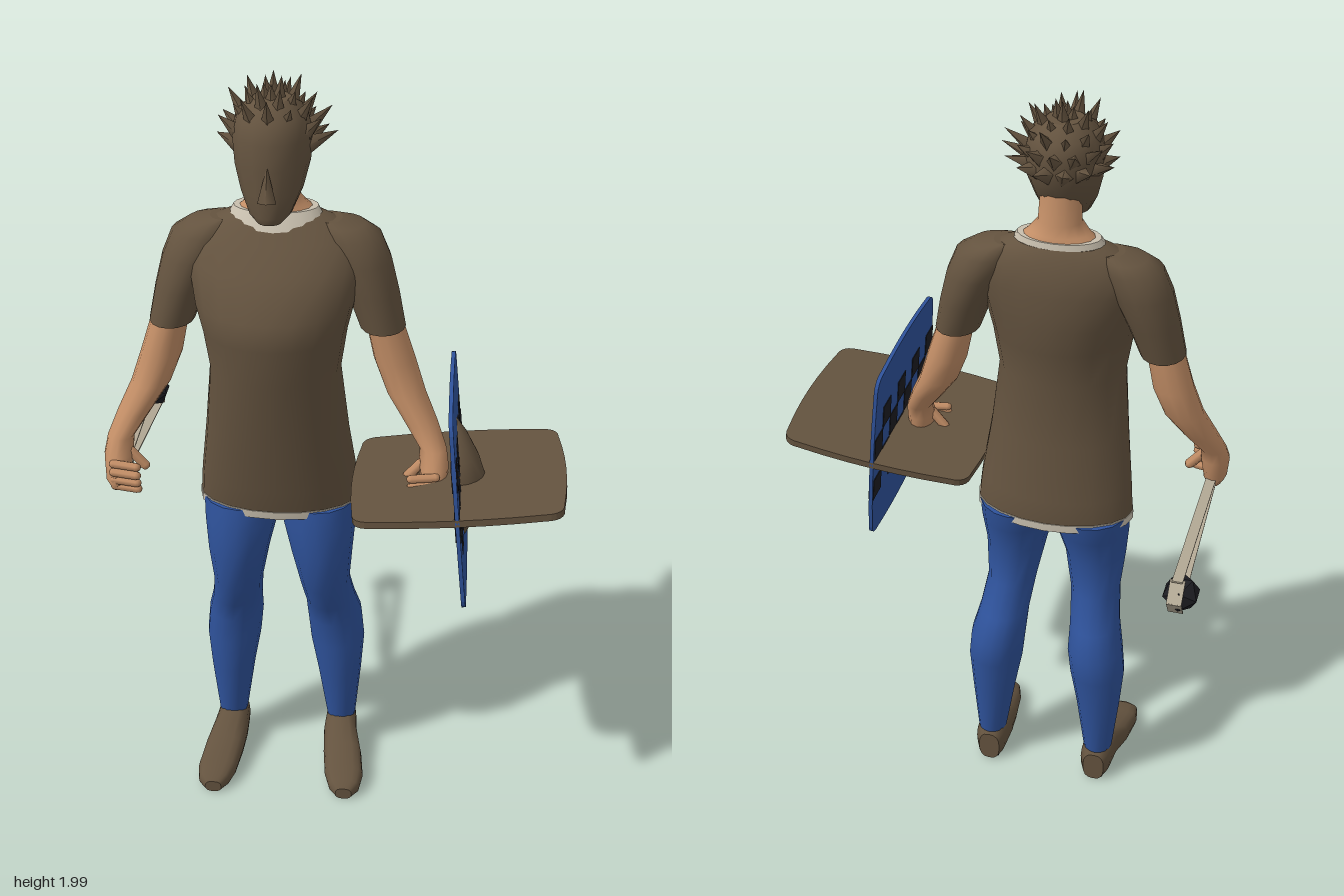
import * as THREE from 'three';

const CX = -0.138; // centre line of the body

const mat = (name, color, side = THREE.FrontSide) => {
  const m = new THREE.MeshStandardMaterial({ color, side });
  m.name = name;
  return m;
};

// Skin through horizontal rings [y, xMin, xMax, zMin, zMax]; pow < 1 makes them boxier
function loft(rings, sides = 16, pow = 1) {
  rings = [...rings].sort((a, b) => a[0] - b[0]);
  const pos = [], idx = [], n = rings.length;
  const bend = v => Math.sign(v) * Math.abs(v) ** pow;
  const addRing = ([y, x0, x1, z0, z1]) => {
    for (let j = 0; j < sides; j++) {
      const a = j / sides * Math.PI * 2;
      pos.push((x0 + x1) / 2 + Math.abs(x1 - x0) / 2 * bend(Math.cos(a)), y,
        (z0 + z1) / 2 + (z1 - z0) / 2 * bend(Math.sin(a)));
    }
  };
  rings.forEach(addRing);
  for (let i = 0; i < n - 1; i++) for (let j = 0; j < sides; j++) {
    const k = (j + 1) % sides, a = i * sides + j, b = i * sides + k;
    idx.push(a, a + sides, b, b, a + sides, b + sides);
  }
  [rings[0], rings[n - 1]].forEach((r, top) => {
    const s = pos.length / 3;
    addRing(r);
    for (let j = 1; j < sides - 1; j++) idx.push(s, s + j + (top ? 1 : 0), s + j + (top ? 0 : 1));
  });
  const g = new THREE.BufferGeometry();
  g.setAttribute('position', new THREE.Float32BufferAttribute(pos, 3));
  g.setIndex(idx);
  g.computeVertexNormals();
  return g;
}

// Rings symmetric about the body: [y, halfWidth, zMin, zMax]
const centred = list => list.map(([y, h, a, b]) => [y, CX - h, CX + h, a, b]);
// Rings on one side: [y, inner, outer, zMin, zMax] measured from the centre line
const sided = (s, list) => list.map(([y, i, o, a, b]) => [y, CX + s * i, CX + s * o, a, b]);

// Plate with bowed sides and rounded corners, lying in XY
function plate(w, h, r, depth) {
  const s = new THREE.Shape(), b = 0.012;
  s.moveTo(-w + r, -h + b);
  s.quadraticCurveTo(0, -h - b, w - r, -h + b);
  s.quadraticCurveTo(w - b, -h + b, w - b, -h + r);
  s.quadraticCurveTo(w + b, 0, w - b, h - r);
  s.quadraticCurveTo(w - b, h - b, w - r, h - b);
  s.quadraticCurveTo(0, h + b, -w + r, h - b);
  s.quadraticCurveTo(-w + b, h - b, -w + b, h - r);
  s.quadraticCurveTo(-w - b, 0, -w + b, -h + r);
  s.quadraticCurveTo(-w + b, -h + b, -w + r, -h + b);
  return new THREE.ExtrudeGeometry(s, { depth, bevelEnabled: false, curveSegments: 6 }).translate(0, 0, -depth / 2);
}

export function createModel() {
  const model = new THREE.Group();
  const brown = mat('brown', 0x64533f, THREE.DoubleSide), skin = mat('skin', 0xc48f67);
  const blue = mat('blue', 0x2f539c), black = mat('black', 0x1d1d22);
  const cream = mat('cream', 0xc8bfae), strap = mat('strap', 0xb3a995);
  const add = (name, geo, m, parent = model) => {
    const mesh = new THREE.Mesh(geo, m);
    mesh.name = name;
    parent.add(mesh);
    return mesh;
  };

  // Tunic with pale hem and collar
  add('tunic', loft(centred([
    [0.88, 0.208, -0.075, 0.165], [0.95, 0.202, -0.075, 0.18], [1.1, 0.182, -0.05, 0.205],
    [1.28, 0.163, -0.05, 0.238], [1.38, 0.178, -0.07, 0.25], [1.45, 0.195, -0.08, 0.253],
    [1.54, 0.215, -0.083, 0.19], [1.6, 0.2, -0.07, 0.13], [1.635, 0.15, -0.055, 0.095], [1.65, 0.112, -0.045, 0.08],
  ]), 20), brown);
  add('hem', loft(centred([[0.862, 0.21, -0.077, 0.166], [0.884, 0.21, -0.077, 0.168]]), 20), cream);
  add('collar', loft(centred([[1.625, 0.125, -0.05, 0.105], [1.665, 0.103, -0.042, 0.078]]), 20), cream);
  add('neck', loft(centred([
    [1.655, 0.1, -0.04, 0.077], [1.675, 0.075, -0.035, 0.073], [1.7, 0.054, -0.025, 0.072], [1.78, 0.05, -0.02, 0.08],
  ])), skin);

  // Head, nose and ears
  add('head', loft(centred([
    [1.672, 0.028, 0.125, 0.176], [1.69, 0.05, 0.07, 0.183], [1.74, 0.074, 0, 0.18], [1.8, 0.09, -0.038, 0.178],
    [1.86, 0.095, -0.05, 0.172], [1.91, 0.083, -0.04, 0.155], [1.94, 0.045, 0.005, 0.105],
  ])), brown);
  const nose = add('nose', new THREE.ConeGeometry(0.022, 0.085, 4), brown);
  nose.position.set(CX, 1.775, 0.185);
  nose.rotation.x = -0.25;

  // Spiky hair: rings of cones swept up and back
  const hair = new THREE.Group();
  hair.name = 'hair';
  model.add(hair);
  const up = new THREE.Vector3(0, 1, 0);
  [[0, 13], [0.35, 13], [0.7, 11], [1.05, 8], [1.4, 4]].forEach(([e, count], row) => {
    for (let i = 0; i < count; i++) {
      const a = (i + (row % 2) * 0.5) / count * Math.PI * 2;
      const n = new THREE.Vector3(Math.cos(e) * Math.sin(a), Math.sin(e), Math.cos(e) * Math.cos(a));
      if (n.z > 0.5 && row < 2) continue;
      const len = 0.075 + 0.018 * Math.sin(i * 2.4 + row);
      const dir = n.clone().add(new THREE.Vector3(0, 0.45, -0.3)).normalize();
      const spike = add('hairSpike', new THREE.ConeGeometry(0.024, len, 4), brown, hair);
      spike.position.set(CX + n.x * 0.085, 1.835 + n.y * 0.088, 0.058 + n.z * 0.1).addScaledVector(dir, len * 0.36);
      spike.quaternion.setFromUnitVectors(up, dir);
    }
  });

  for (const s of [-1, 1]) {
    const side = s > 0 ? 'left' : 'right';
    // Sleeve, forearm and half closed hand
    add(side + 'Sleeve', loft(sided(s, [
      [1.37, 0.205, 0.318, -0.025, 0.115], [1.46, 0.17, 0.3, -0.045, 0.115], [1.54, 0.13, 0.28, -0.06, 0.115],
      [1.6, 0.1, 0.255, -0.055, 0.1], [1.625, 0.1, 0.215, -0.04, 0.08], [1.637, 0.1, 0.16, -0.02, 0.06],
    ])), brown);
    add(side + 'Forearm', loft(sided(s, [
      [1.4, 0.215, 0.306, -0.01, 0.1], [1.28, 0.24, 0.345, -0.01, 0.1], [1.2, 0.272, 0.372, 0.005, 0.115],
      [1.13, 0.32, 0.405, 0.04, 0.135], [1.07, 0.362, 0.43, 0.08, 0.155], [1.03, 0.362, 0.437, 0.095, 0.185],
      [0.97, 0.372, 0.432, 0.1, 0.205], [0.945, 0.385, 0.42, 0.125, 0.19],
    ]), 12), skin);
    for (let f = 0; f < 4; f++) {
      const finger = add(side + 'Finger', new THREE.CapsuleGeometry(0.012, 0.06, 3, 6), skin);
      finger.position.set(CX + s * 0.375, 0.957 + f * 0.021, 0.2 - Math.abs(f - 1.5) * 0.006);
      finger.rotation.set(0, s * 0.2, Math.PI / 2);
    }
    const thumb = add(side + 'Thumb', new THREE.CapsuleGeometry(0.014, 0.05, 3, 6), skin);
    thumb.position.set(CX + s * 0.352, 1.015, 0.14);
    thumb.rotation.z = s * -0.7;

    // Trouser leg
    add(side + 'Leg', loft(sided(s, [
      [0.88, -0.005, 0.202, -0.07, 0.158], [0.82, 0.005, 0.2, -0.055, 0.165], [0.73, 0.028, 0.192, -0.022, 0.167],
      [0.62, 0.05, 0.183, -0.032, 0.145], [0.53, 0.06, 0.195, -0.075, 0.095], [0.46, 0.062, 0.212, -0.107, 0.07],
      [0.38, 0.07, 0.22, -0.097, 0.065], [0.27, 0.09, 0.212, -0.08, 0.053], [0.1, 0.116, 0.196, -0.06, 0.03],
    ])), blue);

    // Shoe runs heel to toe, turned slightly outward, with a dark sole
    add(side + 'Shoe', loft(sided(s, [
      [-0.062, 0.125, 0.185, -0.09, 0], [-0.04, 0.113, 0.198, -0.118, 0], [0.035, 0.11, 0.205, -0.115, 0],
      [0.1, 0.115, 0.222, -0.08, 0], [0.18, 0.125, 0.232, -0.06, 0], [0.225, 0.14, 0.225, -0.05, 0],
      [0.245, 0.16, 0.205, -0.035, 0],
    ]), 16, 0.75).rotateX(Math.PI / 2), brown);
    add(side + 'Sole', loft(sided(s, [
      [-0.05, 0.13, 0.18, -0.006, 0], [0.04, 0.125, 0.19, -0.006, 0],
      [0.17, 0.135, 0.222, -0.006, 0], [0.23, 0.16, 0.205, -0.006, 0],
    ]), 8, 0.4).rotateX(Math.PI / 2), black);
  }

  // Shield: upright checkered panel crossed by a flat board
  const shield = new THREE.Group();
  shield.name = 'shield';
  shield.position.set(0.325, 1.005, 0.15);
  shield.rotation.set(-0.06, 0, 0.1);
  model.add(shield);
  add('shieldPanel', plate(0.243, 0.27, 0.06, 0.01).rotateY(Math.PI / 2), blue, shield);
  add('shieldBoard', plate(0.268, 0.243, 0.06, 0.018).rotateX(Math.PI / 2), brown, shield);
  for (let r = 0; r < 4; r++) for (let c = 0; c < 8; c++) {
    if ((r + c) % 2) continue;
    const check = add('shieldCheck', new THREE.BoxGeometry(0.014, 0.066, 0.059), black, shield);
    check.position.set(0, 0.112 - r * 0.067, 0.207 - c * 0.059);
  }
  const bossProfile = [[0, -0.175], [0.028, -0.125], [0.054, -0.06], [0.068, 0], [0.054, 0.06], [0.028, 0.125], [0, 0.175]];
  add('shieldBoss', new THREE.LatheGeometry(bossProfile.map(p => new THREE.Vector2(...p)), 8, 0, Math.PI), brown, shield);

  // Sling: two straps, a pouch and its stone
  const sling = new THREE.Group();
  sling.name = 'sling';
  sling.position.x = -0.535;
  model.add(sling);
  const band = (name, w, [y0, z0], [y1, z1]) => {
    const b = add(name, new THREE.BoxGeometry(w, 0.004, Math.hypot(y1 - y0, z1 - z0)), strap, sling);
    b.position.set(0, (y0 + y1) / 2, (z0 + z1) / 2);
    b.rotation.x = Math.atan2(y0 - y1, z1 - z0);
  };
  band('upperStrap', 0.026, [0.975, 0.15], [0.998, -0.37]);
  band('lowerStrap', 0.026, [0.965, 0.15], [0.902, -0.36]);
  band('pouchTop', 0.036, [0.998, -0.36], [0.955, -0.4]);
  band('pouchBottom', 0.036, [0.955, -0.4], [0.902, -0.36]);
  const stone = add('stone', new THREE.IcosahedronGeometry(0.048, 0), black, sling);
  stone.position.set(-0.008, 0.95, -0.345);
  return model;
}
